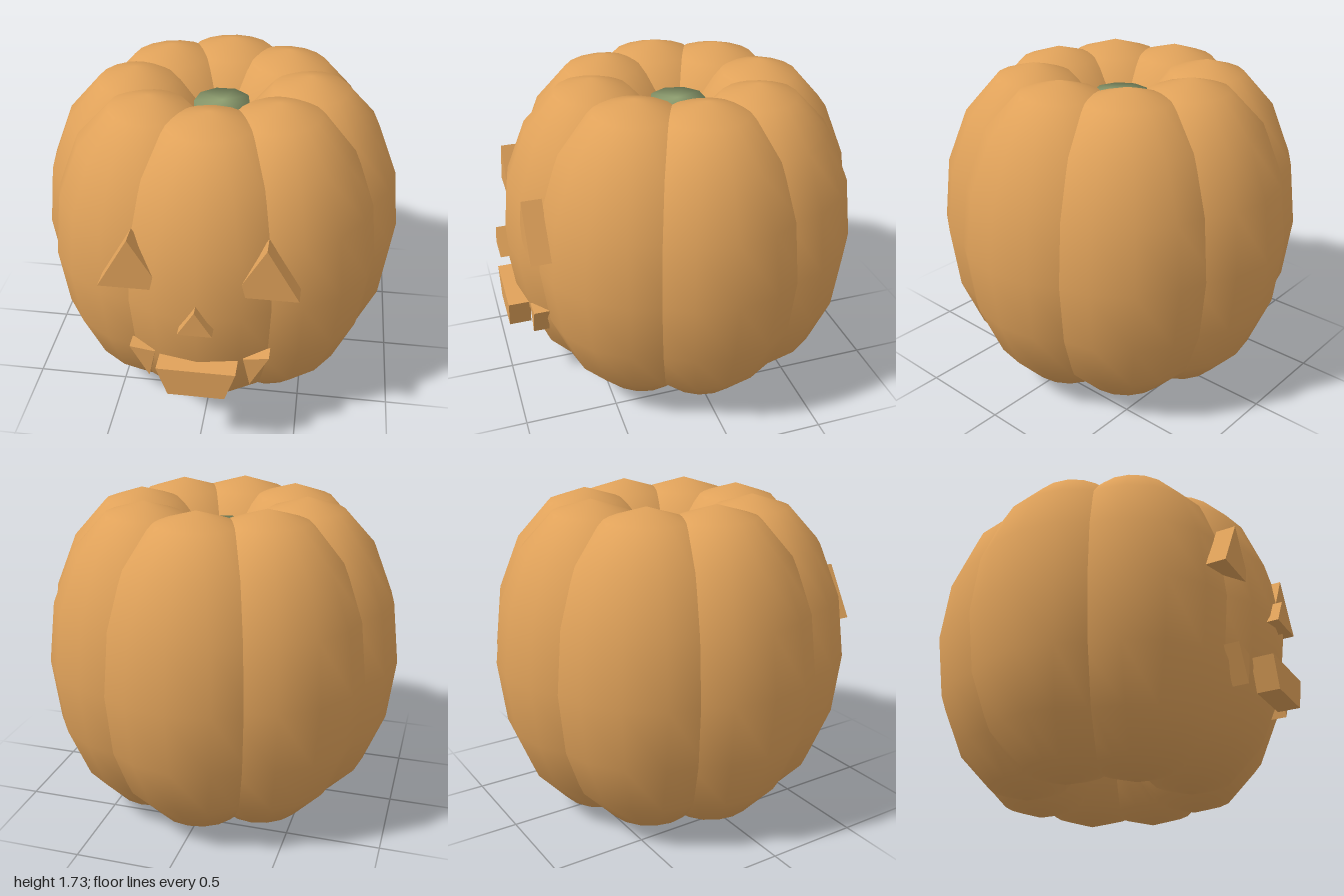
import * as THREE from 'three';
import { mergeVertices } from 'three/addons/utils/BufferGeometryUtils.js';

export function createModel() {
  const model = new THREE.Group();
  model.name = 'carvedPumpkin';

  const orange = new THREE.MeshStandardMaterial({ color: 0xe0a25a });
  orange.name = 'pumpkin orange';
  const green = new THREE.MeshStandardMaterial({ color: 0x8f9f70 });
  green.name = 'stem green';

  const centreZ = -0.02;

  // Body: a ring of eight overlapping stretched lobes
  const body = new THREE.Group();
  body.name = 'body';
  body.position.set(0, 0.867, centreZ);
  const lobeGeometry = new THREE.SphereGeometry(1, 16, 8);
  lobeGeometry.scale(0.57, 0.867, 0.52);
  lobeGeometry.translate(0, 0, 0.46);
  for (let i = 0; i < 8; i++) {
    const lobe = new THREE.Mesh(lobeGeometry, orange);
    lobe.name = 'lobe' + (i + 1);
    lobe.rotation.y = (i * Math.PI) / 4;
    body.add(lobe);
  }
  model.add(body);

  // Stem: short nine-sided stub with softly shaded rim
  const stub = new THREE.CylinderGeometry(0.15, 0.15, 0.37, 9);
  stub.deleteAttribute('normal');
  stub.deleteAttribute('uv');
  const stubGeometry = mergeVertices(stub);
  stubGeometry.computeVertexNormals();
  const stem = new THREE.Mesh(stubGeometry, green);
  stem.name = 'stem';
  stem.position.set(0, 1.385, centreZ);
  model.add(stem);

  // Face: flat outlines extruded between two depths
  const addPlate = (name, points, back, front) => {
    const shape = new THREE.Shape(points.map(([x, y]) => new THREE.Vector2(x, y)));
    const geometry = new THREE.ExtrudeGeometry(shape, { depth: front - back, bevelEnabled: false });
    geometry.translate(0, 0, back);
    const mesh = new THREE.Mesh(geometry, orange);
    mesh.name = name;
    model.add(mesh);
  };

  for (const [side, s] of [['left', 1], ['right', -1]]) {
    const mirror = (points) => points.map(([x, y]) => [x * s, y]);
    addPlate(side + 'Eye', mirror([[0.17, 0.99], [0.49, 0.99], [0.33, 1.27]]), 0.79, 0.895);
    addPlate(side + 'MouthCorner', mirror([[0.26, 0.42], [0.355, 0.605], [0.225, 0.585]]), 0.8, 0.885);
  }
  addPlate('nose', [[-0.085, 0.815], [0.085, 0.815], [0, 0.955]], 0.89, 1.0);
  addPlate('mouth', [[-0.145, 0.41], [0.145, 0.41], [0.2, 0.577], [-0.2, 0.577]], 0.88, 0.998);

  return model;
}
